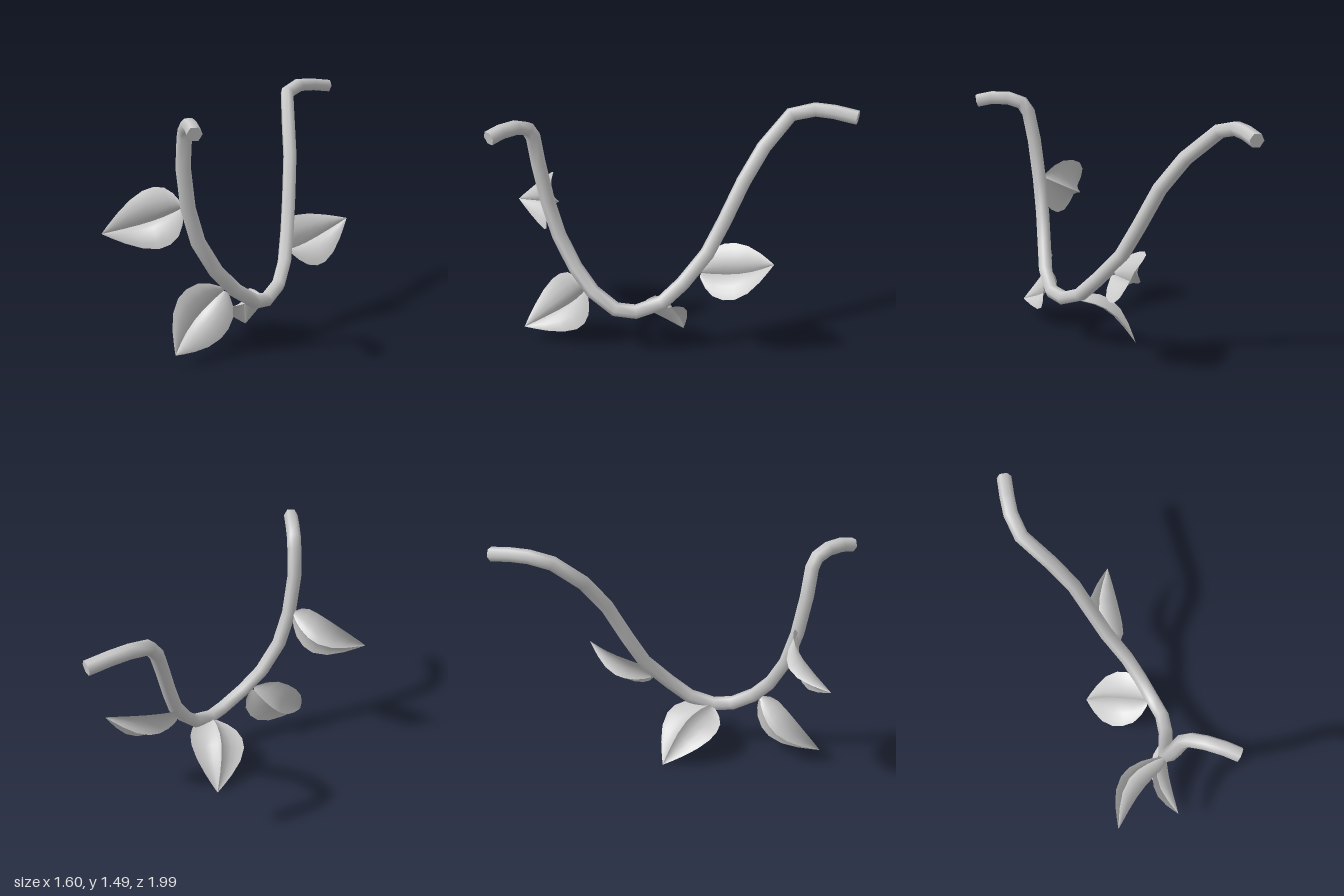
import * as THREE from 'three';

const V = (a) => new THREE.Vector3(...a);
const material = new THREE.MeshStandardMaterial({ color: 0xcccccc, side: THREE.DoubleSide });

// Centre line of the hanging stem, front end to back end
const STEM = [
  [-0.295, 1.43, 0.98], [-0.30, 1.45, 0.89], [-0.31, 1.45, 0.78], [-0.32, 1.42, 0.69],
  [-0.325, 1.36, 0.65], [-0.33, 1.18, 0.615], [-0.30, 0.93, 0.575], [-0.24, 0.72, 0.54],
  [-0.13, 0.53, 0.50], [-0.01, 0.40, 0.46], [0.12, 0.305, 0.385], [0.20, 0.29, 0.29],
  [0.29, 0.345, 0.16], [0.345, 0.46, 0.04], [0.385, 0.63, -0.12], [0.41, 0.82, -0.23],
  [0.435, 1.06, -0.36], [0.445, 1.25, -0.51], [0.465, 1.42, -0.71], [0.56, 1.455, -0.82],
  [0.66, 1.45, -0.89], [0.78, 1.43, -0.965],
].map(V);

// base, tip, the direction the hollow side faces, and how far the midrib arches
const LEAVES = [
  { name: 'upperLeaf', base: [-0.33, 0.93, 0.54], tip: [-0.80, 0.765, 0.46], face: [0, 0.4, 1], arch: 0.145 },
  { name: 'frontLeaf', base: [-0.08, 0.40, 0.46], tip: [-0.39, 0.09, 0.72], face: [0, 0, 1], arch: 0.125 },
  { name: 'lowerLeaf', base: [0.18, 0.30, 0.25], tip: [0.125, 0.005, -0.155], face: [0.26, -1, 0], arch: 0.13 },
  { name: 'backLeaf', base: [0.38, 0.51, -0.08], tip: [0.80, 0.655, -0.29], face: [0.3, 0.65, 0.84], arch: 0.11 },
];

// Half-width along the leaf: [position, fraction of full width]
const OUTLINE = [[0, 0.2], [0.06, 0.55], [0.15, 0.84], [0.28, 0.99], [0.42, 1], [0.6, 0.83], [0.78, 0.51], [0.91, 0.22], [1, 0]];

// Half cross-section from midrib to edge: [across, lift]; the midrib is a sharp cleft
const HALF = [[0, 0], [0.09, 0.4], [0.26, 0.78], [0.52, 0.97], [0.78, 1], [1, 0.92]];
const SECTION = [...HALF.map(([u, h]) => [-u, h]).reverse(), ...HALF];

function makeLeaf({ name, base, tip, face, arch }) {
  const halfWidth = 0.18, fold = 0.072;
  const a = V(base), b = V(tip);
  const along = b.clone().sub(a).normalize();
  const normal = V(face).addScaledVector(along, -V(face).dot(along)).normalize();
  const side = normal.clone().cross(along);
  const positions = [], index = [];
  const cols = SECTION.length;
  OUTLINE.forEach(([t, w], i) => {
    // arched midrib, with a puffed blade on both sides of it
    const rib = a.clone().lerp(b, t).addScaledVector(normal, -arch * Math.sin(Math.PI * t ** 0.85));
    SECTION.forEach(([u, lift], j) => {
      const p = rib.clone().addScaledVector(side, u * w * halfWidth).addScaledVector(normal, fold * w * lift);
      positions.push(p.x, p.y, p.z);
      if (i && j && j !== HALF.length) {
        const k = i * cols + j;
        index.push(k - cols - 1, k - cols, k, k - cols - 1, k, k - 1);
      }
    });
  });
  const geometry = new THREE.BufferGeometry();
  geometry.setAttribute('position', new THREE.Float32BufferAttribute(positions, 3));
  geometry.setIndex(index);
  geometry.computeVertexNormals();
  const leaf = new THREE.Mesh(geometry, material);
  leaf.name = name;
  return leaf;
}

function makeStem(radius = 0.045, sides = 6) {
  const group = new THREE.Group();
  group.name = 'stem';
  // One ring of the tube on each point of the centre line
  const curve = new THREE.CatmullRomCurve3(STEM);
  curve.getPointAt = curve.getPoint;
  curve.getTangentAt = curve.getTangent;
  const segments = STEM.length - 1;
  const tubeGeometry = new THREE.TubeGeometry(curve, segments, radius, sides);
  const tube = new THREE.Mesh(tubeGeometry, material);
  tube.name = 'stemTube';
  group.add(tube);

  // Flat caps fanned over the first and last rings of the tube
  const pos = tubeGeometry.attributes.position;
  [0, segments].forEach((ring) => {
    const points = [STEM[ring]], index = [];
    for (let j = 0; j <= sides; j++) {
      points.push(new THREE.Vector3().fromBufferAttribute(pos, ring * (sides + 1) + j));
      if (j) index.push(0, ...(ring ? [j + 1, j] : [j, j + 1]));
    }
    const geometry = new THREE.BufferGeometry().setFromPoints(points);
    geometry.setIndex(index);
    geometry.computeVertexNormals();
    const cap = new THREE.Mesh(geometry, material);
    cap.name = ring ? 'backStemEnd' : 'frontStemEnd';
    group.add(cap);
  });
  return group;
}

export function createModel() {
  const model = new THREE.Group();
  model.name = 'hangingVine';
  model.add(makeStem());
  LEAVES.forEach((leaf) => model.add(makeLeaf(leaf)));
  return model;
}
